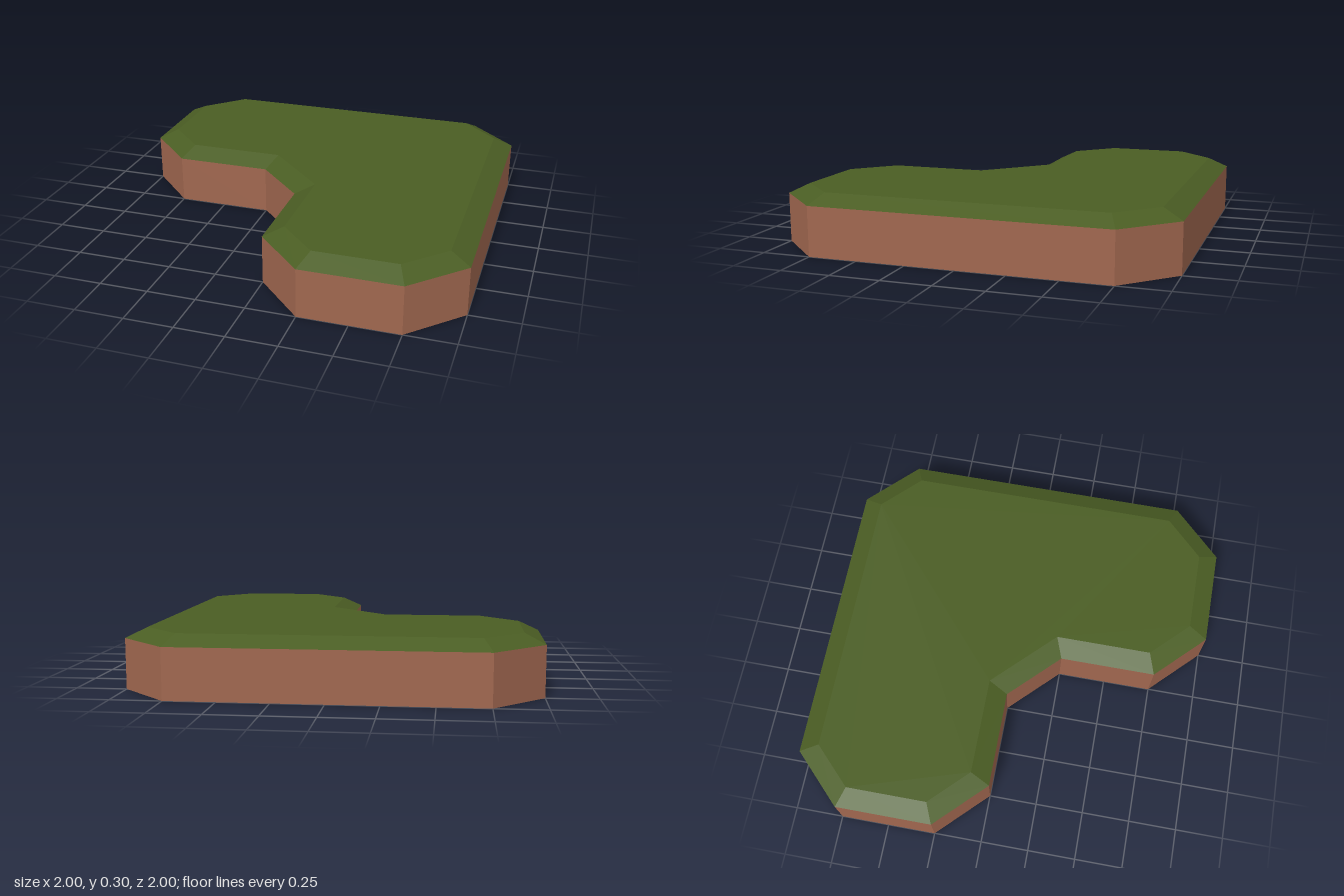
import * as THREE from 'three';

// Footprint corners (x, z), clockwise seen from above
const outline = [
  [-0.75, -1], [0.75, -1], [1, -0.75], [1, 0.75], [0.75, 1], [0.25, 1],
  [0, 0.75], [0, 0.25], [-0.25, 0], [-0.75, 0], [-1, -0.25], [-1, -0.75],
].map(([x, z]) => new THREE.Vector2(x, z));

const wallTop = 0.25, top = 0.3, bevel = 0.1;

// Mitred inset of the footprint by distance d
function inset(points, d) {
  const n = points.length;
  const inward = (a, b) => new THREE.Vector2(a.y - b.y, b.x - a.x).normalize();
  return points.map((p, i) => {
    const n1 = inward(points[(i + n - 1) % n], p);
    const n2 = inward(p, points[(i + 1) % n]);
    return n1.clone().add(n2).multiplyScalar(d / (1 + n1.dot(n2))).add(p);
  });
}

// Flat-faced band joining two rings at different heights
function band(lower, y0, upper, y1) {
  const pos = [];
  lower.forEach((a, i) => {
    const j = (i + 1) % lower.length;
    const b = lower[j], A = upper[i], B = upper[j];
    pos.push(a.x, y0, a.y, A.x, y1, A.y, B.x, y1, B.y);
    pos.push(a.x, y0, a.y, B.x, y1, B.y, b.x, y0, b.y);
  });
  const geo = new THREE.BufferGeometry();
  geo.setAttribute('position', new THREE.Float32BufferAttribute(pos, 3));
  geo.computeVertexNormals();
  return geo;
}

export function createModel() {
  const group = new THREE.Group();
  group.name = 'cornerGroundTile';

  // Open-bottomed shell, so both sides show
  const dirt = new THREE.MeshStandardMaterial({ color: 0xa0674f, side: THREE.DoubleSide });
  dirt.name = 'dirt';
  const grass = new THREE.MeshStandardMaterial({ color: 0x4a5d23, side: THREE.DoubleSide });
  grass.name = 'grass';

  const add = (name, geo, mat) => {
    const mesh = new THREE.Mesh(geo, mat);
    mesh.name = name;
    group.add(mesh);
    return mesh;
  };

  const rim = inset(outline, bevel);

  // Earth walls
  add('dirtWalls', band(outline, 0, outline, wallTop), dirt);

  // Sloped grass edge
  add('grassBevel', band(outline, wallTop, rim, top), grass);

  // Flat grass top
  const shape = new THREE.Shape(rim.map((p) => new THREE.Vector2(p.x, -p.y)));
  const cap = new THREE.ShapeGeometry(shape).rotateX(-Math.PI / 2);
  add('grassTop', cap, grass).position.y = top;

  return group;
}
